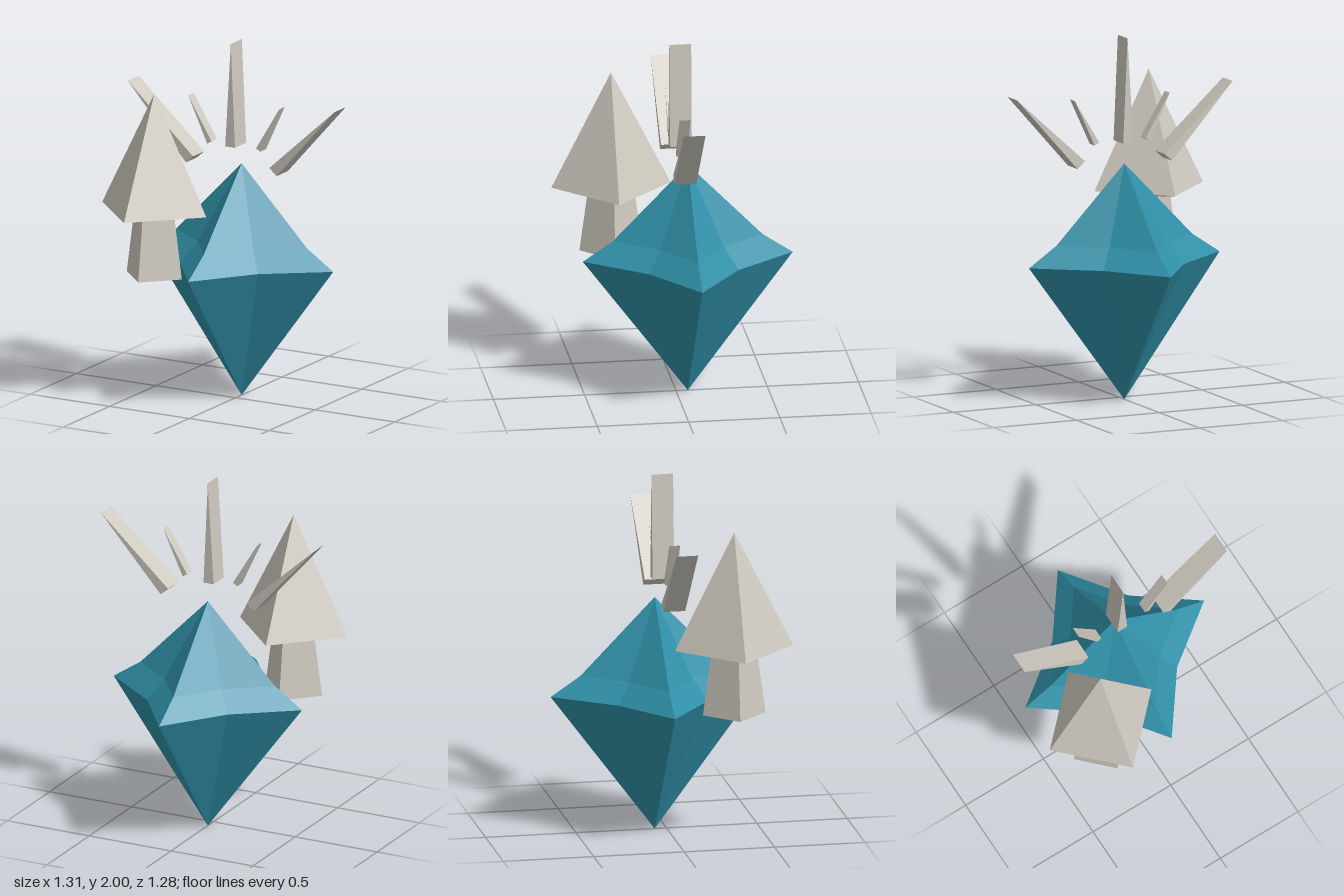
import * as THREE from 'three';

const teal = new THREE.MeshStandardMaterial({ color: 0x3090a8 });
teal.name = 'teal crystal';
const stone = new THREE.MeshStandardMaterial({ color: 0xcfcac0 });
stone.name = 'pale stone';
teal.flatShading = stone.flatShading = true;

// Faceted solid turned from [radius, height] points
function turned(name, profile, sides, material, reshape) {
  const points = profile.map(([r, y]) => new THREE.Vector2(r, y));
  let geometry = new THREE.LatheGeometry(points, sides);
  if (reshape) reshape(geometry.attributes.position);
  geometry = geometry.toNonIndexed();
  geometry.computeVertexNormals();
  const mesh = new THREE.Mesh(geometry, material);
  mesh.name = name;
  return mesh;
}

// Wedge with a triangular front outline, centred on z
function wedge(name, outline, width, z) {
  const shape = new THREE.Shape(outline.map(([x, y]) => new THREE.Vector2(x, y)));
  const geometry = new THREE.ExtrudeGeometry(shape, { depth: width, bevelEnabled: false });
  geometry.translate(0, 0, z - width / 2);
  const mesh = new THREE.Mesh(geometry, stone);
  mesh.name = name;
  return mesh;
}

export function createModel() {
  const model = new THREE.Group();
  model.name = 'crystalWithArrow';

  // Four-pointed gem: every second corner is pulled in towards the axis
  const gem = turned('gem', [[0, 0.005], [0.575, 0.775], [0.41, 0.886], [0, 1.308]], 8, teal, (p) => {
    for (let i = 0; i < p.count; i++) {
      const x = p.getX(i), z = p.getZ(i);
      if (Math.min(Math.abs(x), Math.abs(z)) > 0.01) {
        p.setX(i, x * 0.603);
        p.setZ(i, z * 0.603);
      }
    }
  });
  gem.position.z = -0.065;
  model.add(gem);

  // Upward arrow: pyramid head on a tapered square shaft
  const arrow = new THREE.Group();
  arrow.name = 'arrow';
  arrow.add(
    turned('arrowHead', [[0, 1.055], [0.13, 1.057], [0.327, 1.09], [0, 1.74]], 4, stone),
    turned('arrowShaft', [[0, 0.72], [0.173, 0.72], [0.127, 1.06]], 4, stone),
  );
  arrow.position.set(-0.33, 0, 0.31);
  model.add(arrow);

  // Fan of rays above the gem
  const rays = new THREE.Group();
  rays.name = 'rays';
  rays.add(wedge('centreRay', [[-0.045, 1.42], [0.016, 1.42], [-0.01, 2]], 0.12, -0.025));
  for (const [side, s] of [['left', 1], ['right', -1]]) {
    const mirror = (outline) => outline.map(([x, y]) => [x * s, y]);
    rays.add(
      wedge(side + 'LargeRay', mirror([[0.24, 1.34], [0.285, 1.3], [0.65, 1.71]]), 0.12, -0.012),
      wedge(side + 'SmallRay', mirror([[0.14, 1.43], [0.167, 1.415], [0.286, 1.67]]), 0.06, -0.01),
    );
  }
  model.add(rays);

  return model;
}
